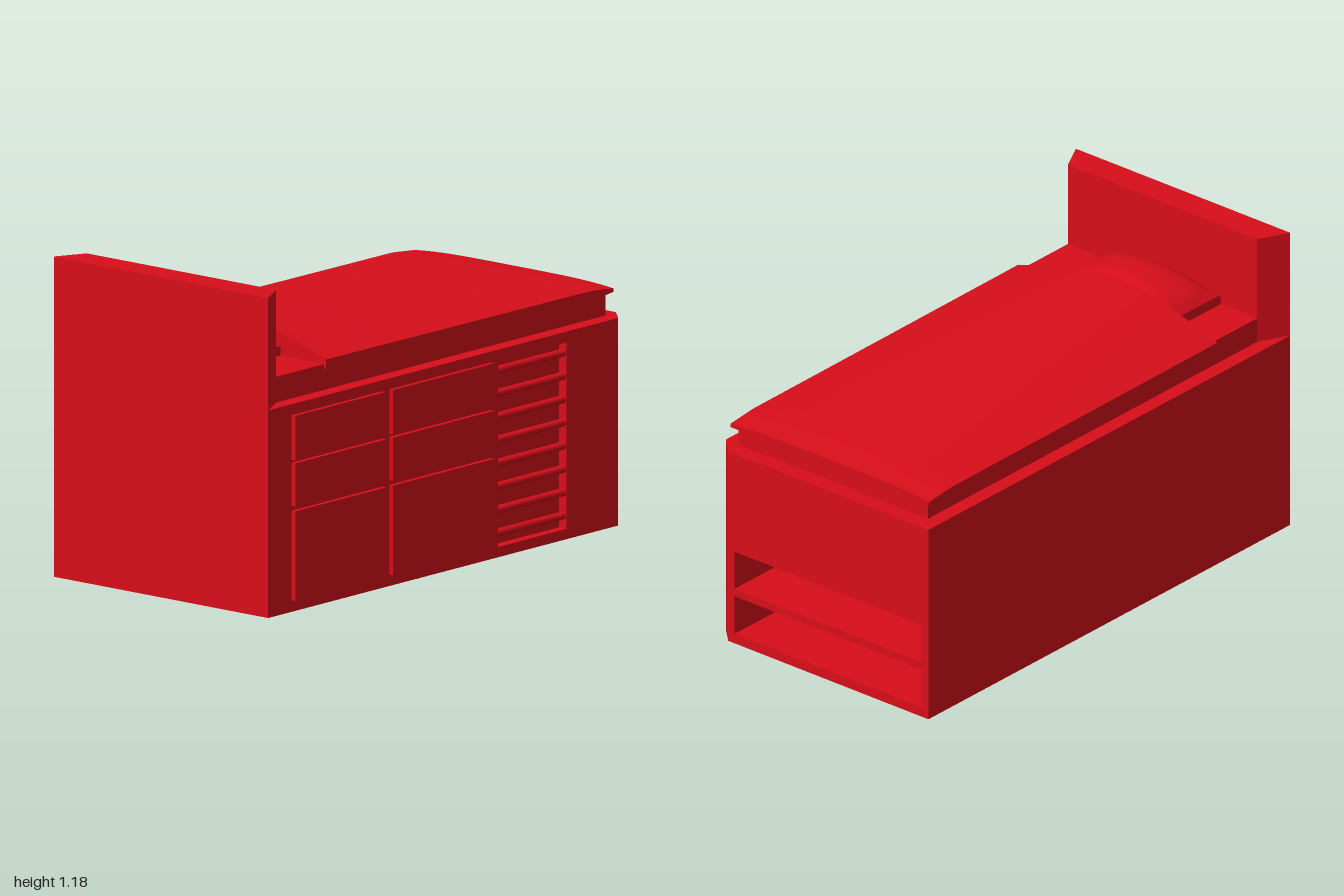
import * as THREE from 'three';

const material = new THREE.MeshStandardMaterial({ color: 0xd80e1a });

function add(parent, name, geometry) {
  const mesh = new THREE.Mesh(geometry, material);
  mesh.name = name;
  parent.add(mesh);
  return mesh;
}

// Box given by its extents on each axis
function box(parent, name, [x0, x1], [y0, y1], [z0, z1]) {
  const mesh = add(parent, name, new THREE.BoxGeometry(x1 - x0, y1 - y0, z1 - z0));
  mesh.position.set((x0 + x1) / 2, (y0 + y1) / 2, (z0 + z1) / 2);
  return mesh;
}

// Upright prism from a plan outline of [x, z] points
function prism(parent, name, plan, y0, y1) {
  const shape = new THREE.Shape(plan.map(([x, z]) => new THREE.Vector2(x, -z)));
  const geometry = new THREE.ExtrudeGeometry(shape, { depth: y1 - y0, bevelEnabled: false });
  geometry.rotateX(-Math.PI / 2).translate(0, y0, 0);
  return add(parent, name, geometry);
}

// Soft slab: a box whose upper and lower faces follow height rules
function softSlab(parent, name, [x0, x1], [z0, z1], top, bottom, nx, nz) {
  const geometry = new THREE.BoxGeometry(1, 1, 1, nx, 1, nz);
  const p = geometry.attributes.position;
  for (let i = 0; i < p.count; i++) {
    const x = THREE.MathUtils.lerp(x0, x1, p.getX(i) + 0.5);
    const z = THREE.MathUtils.lerp(z0, z1, p.getZ(i) + 0.5);
    p.setXYZ(i, x, p.getY(i) > 0 ? top(x, z) : bottom(x, z), z);
  }
  geometry.computeVertexNormals();
  return add(parent, name, geometry);
}

export function createModel() {
  const bed = new THREE.Group();
  bed.name = 'storageBed';
  const L = -0.515, R = 0.497, H = 0.765;

  // Base in layers, notched for the foot shelves and the slatted recess
  const base = new THREE.Group();
  base.name = 'base';
  bed.add(base);
  const sideStart = [[L, 1], [R, 1]];
  const slatNotch = [[R, -0.27], [0.46, -0.27], [0.46, -0.65], [R, -0.65]];
  const corner = [[R, -0.935], [0.43, -1]];
  const shelfNotch = [[0.4, -1], [0.4, -0.65], [-0.48, -0.65], [-0.48, -1]];
  const end = [[L, -1]];
  prism(base, 'plinth', [...sideStart, ...corner, ...end], 0, 0.038);
  prism(base, 'lowerBody', [...sideStart, ...slatNotch, ...corner, ...shelfNotch, ...end], 0.038, 0.37);
  prism(base, 'upperBody', [...sideStart, ...slatNotch, ...corner, ...end], 0.37, 0.725);
  prism(base, 'topRim', [...sideStart, ...corner, ...end], 0.725, H);
  box(base, 'footShelf', [-0.48, 0.4], [0.19, 0.22], [-1, -0.65]);

  // Headboard with slanted ends
  prism(bed, 'headboard', [[L, 1], [R, 1], [0.437, 0.885], [-0.457, 0.885]], H, 1.18);

  // Drawer fronts: two columns of three
  for (const z of [[0.37, 0.87], [-0.23, 0.33]]) {
    for (const y of [[0.042, 0.373], [0.39, 0.55], [0.56, 0.725]]) {
      box(bed, 'drawerFront', [R - 0.005, 0.515], y, z);
    }
  }

  // Rounded slats across the recess
  for (let i = 0; i < 8; i++) {
    const slat = add(bed, 'ventSlat', new THREE.CylinderGeometry(0.015, 0.015, 0.38, 12));
    slat.rotation.x = Math.PI / 2;
    slat.position.set(0.48, 0.685 - i * 0.0857, -0.46);
  }

  // Mattress
  box(bed, 'mattress', [-0.457, 0.437], [H, 0.86], [-0.935, 0.885]);

  // Pillow, domed and tucked under the blanket
  const arch = (t, power) => Math.pow(Math.max(0, 1 - Math.pow(Math.abs(t), power)), 0.75);
  softSlab(bed, 'pillow', [-0.285, 0.232], [0.54, 0.885],
    (x, z) => 0.895 + 0.096 * arch((x + 0.027) / 0.259, 2.4) * arch((z - 0.7125) / 0.1725, 3),
    () => 0.859, 24, 16);

  // Blanket: swells over the pillow and flattens toward the foot
  const blanketTop = (x, z) => {
    const along = THREE.MathUtils.clamp((z + 0.85) / 1.47, 0, 1);
    const across = Math.abs(x + 0.025) / 0.47;
    const dome = Math.pow(Math.cos(Math.min(1, across) * Math.PI / 2), 1.2);
    const foot = Math.max(0, -0.85 - z) * 0.1;
    return 0.872 + 0.013 * (1 - across ** 4) + 0.006 * along - foot + 0.09 * along * dome;
  };
  const blanketBottom = (x, z) => 0.835 + 0.008 * THREE.MathUtils.clamp(z + 0.85, 0, 1)
    + 0.1 * Math.max(0, -0.85 - z);
  softSlab(bed, 'blanket', [-0.495, 0.445], [-0.97, 0.62], blanketTop, blanketBottom, 28, 26);

  return bed;
}
